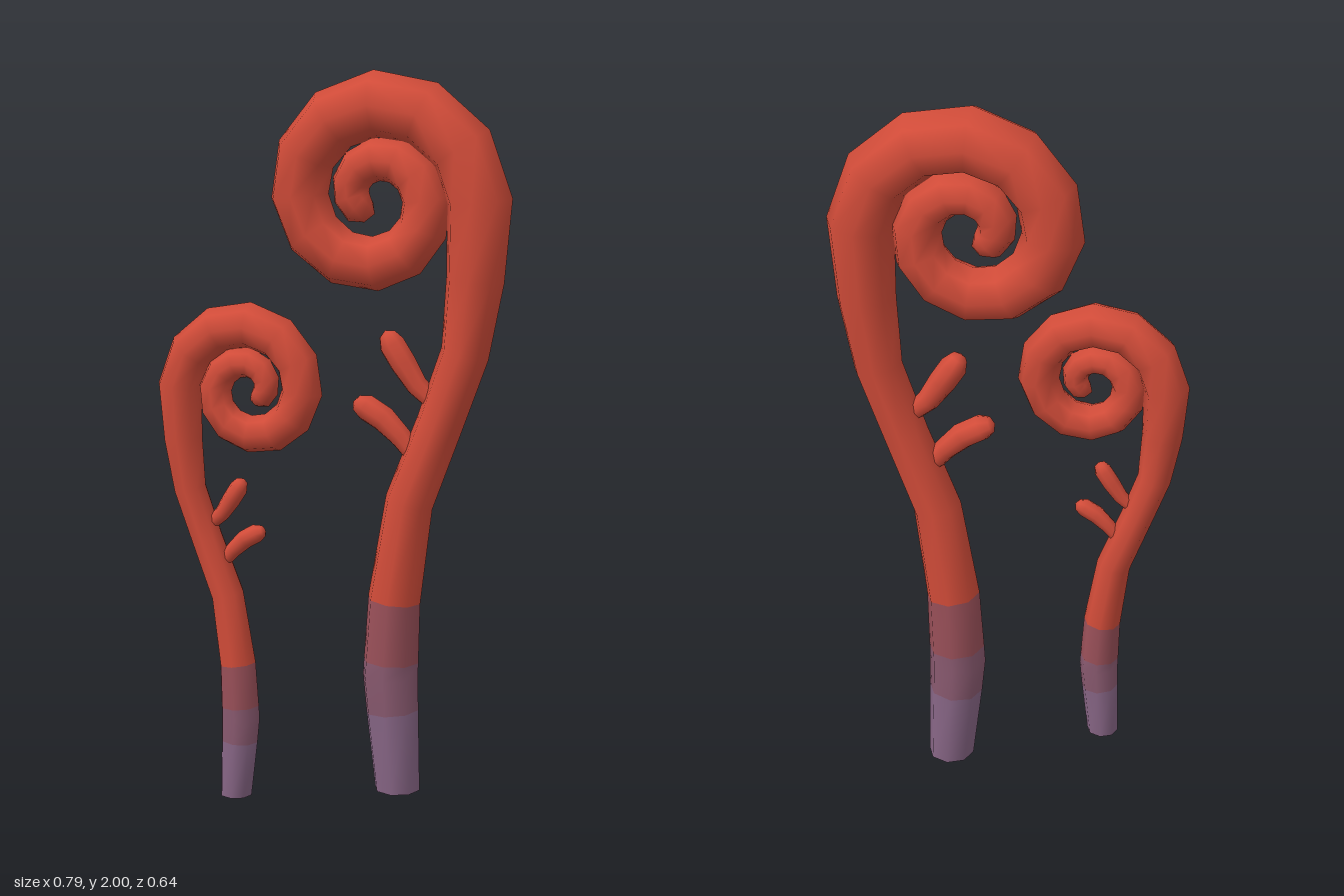
import * as THREE from 'three';

const SIDES = 8;
const red = new THREE.MeshStandardMaterial({ color: 0xd24c39 });
red.name = 'coral red';
const rose = new THREE.MeshStandardMaterial({ color: 0x9a5059 });
rose.name = 'dusty rose';
const mauve = new THREE.MeshStandardMaterial({ color: 0x8a5a70 });
mauve.name = 'mauve';
const purple = new THREE.MeshStandardMaterial({ color: 0x896787 });
purple.name = 'muted purple';

// Tapered tube along a flat path of [x, y, radius], with a rounded far end.
// bands[i] is the material index of the span after ring i (the last one repeats).
function taperedTube(path, tipLength, bands = [0]) {
  const pos = [], index = [], geo = new THREE.BufferGeometry();
  const B = new THREE.Vector3(0, 0, 1);
  const last = path.length - 1;
  const T = new THREE.Vector3();
  path.forEach(([x, y, r], i) => {
    const a = path[Math.max(i - 1, 0)], b = path[Math.min(i + 1, last)];
    T.set(b[0] - a[0], b[1] - a[1], 0).normalize();
    if (i === 0 && y === 0) T.set(0, 1, 0);
    const N = B.clone().cross(T);
    for (let j = 0; j < SIDES; j++) {
      const t = (j / SIDES) * Math.PI * 2;
      pos.push(x + N.x * r * Math.cos(t), y + N.y * r * Math.cos(t), r * Math.sin(t));
    }
  });
  pos.push(path[last][0] + T.x * tipLength, path[last][1] + T.y * tipLength, 0);
  for (let i = 0; i <= last; i++) {
    const start = index.length;
    for (let j = 0; j < SIDES; j++) {
      const k = (j + 1) % SIDES, a = i * SIDES + j, b = i * SIDES + k;
      if (i < last) index.push(a, b, b + SIDES, a, b + SIDES, a + SIDES);
      else index.push(a, b, (last + 1) * SIDES);
    }
    geo.addGroup(start, index.length - start, bands[Math.min(i, bands.length - 1)]);
  }
  geo.setAttribute('position', new THREE.Float32BufferAttribute(pos, 3));
  geo.setIndex(index);
  geo.computeVertexNormals();
  return geo;
}

// Upright stem, running on into a spiral that winds inwards
function stemPath() {
  const path = [
    [0, 0, 0.065], [-0.016, 0.23, 0.076], [-0.022, 0.33, 0.08], [-0.02, 0.375, 0.079],
    [-0.012, 0.55, 0.075], [0.029, 0.83, 0.068], [0.112, 1.05, 0.065],
    [0.182, 1.25, 0.067], [0.208, 1.45, 0.08],
  ];
  const steps = 20;
  for (let i = 0; i <= steps; i++) {
    const a = (i * Math.PI) / 6;
    const R = 0.288 - 0.0123 * i;
    const r = i < 3 ? 0.09 : 0.09 - 0.0026 * (i - 3);
    path.push([-0.07 + R * Math.cos(a), 1.66 + R * Math.sin(a), i === steps ? r * 0.7 : r]);
  }
  return path;
}

function makeFrond(name) {
  const frond = new THREE.Group();
  frond.name = name;

  const stem = new THREE.Mesh(
    taperedTube(stemPath(), 0.02, [0, 1, 1, 2, 3]), [purple, mauve, rose, red]);
  stem.name = 'curledStem';
  frond.add(stem);

  // Flat underside of the stem
  const foot = new THREE.Mesh(new THREE.CircleGeometry(0.065, SIDES), purple);
  foot.rotation.x = Math.PI / 2;
  foot.name = 'foot';
  frond.add(foot);

  // Two small buds on the inner side
  const buds = {
    upperBud: [[0.11, 1.1, 0.024], [0.05, 1.155, 0.031], [0.01, 1.215, 0.037],
      [-0.022, 1.265, 0.037], [-0.036, 1.292, 0.024]],
    lowerBud: [[0.06, 0.94, 0.024], [0.005, 1.01, 0.031], [-0.045, 1.058, 0.037],
      [-0.095, 1.087, 0.037], [-0.121, 1.097, 0.024]],
  };
  for (const [budName, path] of Object.entries(buds)) {
    const bud = new THREE.Mesh(taperedTube(path, 0.012), red);
    bud.name = budName;
    frond.add(bud);
  }
  return frond;
}

export function createModel() {
  const model = new THREE.Group();
  model.name = 'curledFronds';

  const large = makeFrond('largeFrond');
  large.position.set(0.165, 0, 0.065);
  large.rotation.y = THREE.MathUtils.degToRad(-50);

  // Smaller frond curls the opposite way
  const small = makeFrond('smallFrond');
  small.scale.setScalar(0.695);
  small.position.set(-0.24, 0, -0.14);
  small.rotation.y = THREE.MathUtils.degToRad(130);

  model.add(large, small);
  return model;
}
